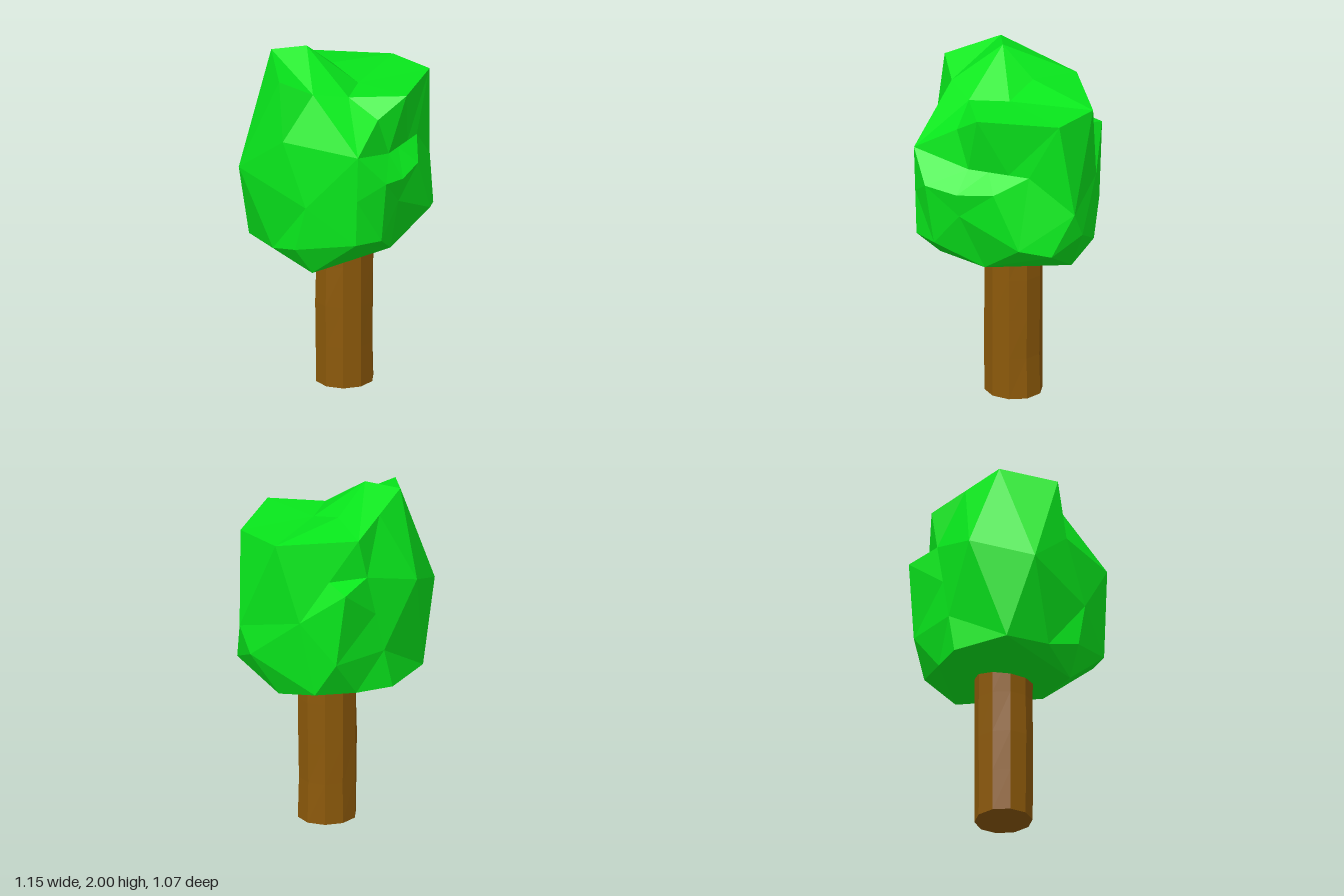
import * as THREE from 'three';
import { ConvexGeometry } from 'three/addons/geometries/ConvexGeometry.js';

const leafGreen = new THREE.MeshStandardMaterial({ color: 0x08e81c });
leafGreen.name = 'leafGreen';
const barkBrown = new THREE.MeshStandardMaterial({ color: 0x8c590a });
barkBrown.name = 'barkBrown';

// Corners of the crown, level by level
const peak = [
  [-0.16, 2.0, -0.14], [-0.31, 1.97, -0.27], [-0.46, 1.9, 0.02], [-0.3, 1.82, 0.12],
];
const shelf = [
  [0.04, 1.84, -0.18], [0.07, 1.78, 0.03], [-0.1, 1.78, 0.18], [0.16, 1.79, 0.37],
  [0.52, 1.78, 0.08], [0.48, 1.78, -0.22], [0.09, 1.81, -0.47], [-0.02, 1.68, 0.35],
];
const notch = [
  [0.06, 1.46, 0.34], [0.37, 1.45, 0.17], [0.08, 1.34, 0.45], [0.26, 1.36, 0.34],
];
const belt = [
  [-0.24, 1.54, 0.47], [-0.09, 1.37, 0.53], [-0.47, 1.56, 0.07], [-0.58, 1.35, -0.2],
  [-0.3, 1.49, -0.46], [0.22, 1.53, -0.54], [0.39, 1.33, -0.33], [0.57, 1.24, 0.01],
  [0.07, 1.2, 0.42], [-0.42, 1.2, 0.22],
];
const underside = [
  [0.55, 1.09, -0.07], [0.51, 1.0, 0.13], [0.39, 1.04, 0.27], [-0.08, 1.01, 0.47],
  [-0.24, 1.01, 0.45], [-0.45, 0.94, 0.16], [-0.46, 0.89, -0.04], [-0.44, 0.89, -0.3],
  [-0.14, 0.88, -0.46], [0.08, 0.88, -0.43], [0.32, 0.9, -0.38], [0.4, 0.84, -0.13],
  [0.12, 0.86, 0.27], [-0.34, 0.78, 0.17], [0.25, 1.1, -0.49],
];

// Straight creases that must stay whole: start corner, end corner, points between
const shelfBack = shelf[6];
const creases = [
  [notch[0], notch[1], 2],          // inner line of the notch
  [shelfBack, belt[6], 1],          // fold behind the shelf
  [shelfBack, underside[8], 3],     // long back crease
  [peak[0], shelfBack, 1],
  [peak[1], shelfBack, 1],
  [peak[1], peak[3], 1],
  [belt[0], underside[4], 1],       // front left panel
  [underside[4], underside[12], 1],
];

function pointsBetween([a, b, count]) {
  return Array.from({ length: count }, (_, i) => {
    const t = (i + 1) / (count + 1);
    return a.map((value, axis) => value + (b[axis] - value) * t);
  });
}

// Facets are found on a sphere around the centre, then pushed out to the real corners
function facetedBlob(corners, center) {
  const points = corners.map((c) => new THREE.Vector3(...c));
  const directions = points.map((p) => p.clone().sub(center).normalize());
  const geometry = new ConvexGeometry(directions);
  const position = geometry.attributes.position;
  const v = new THREE.Vector3();
  for (let i = 0; i < position.count; i++) {
    v.fromBufferAttribute(position, i);
    let best = 0;
    directions.forEach((d, k) => {
      if (d.distanceToSquared(v) < directions[best].distanceToSquared(v)) best = k;
    });
    position.setXYZ(i, ...points[best].toArray());
  }
  geometry.computeVertexNormals();
  return geometry;
}

// Ten-sided trunk with slightly wandering rings
function trunkGeometry() {
  const height = 0.96;
  const base = new THREE.CylinderGeometry(0.161, 0.161, height, 10, 4);
  base.translate(0, height / 2, 0);
  const position = base.attributes.position;
  for (let i = 0; i < position.count; i++) {
    const x = position.getX(i), y = position.getY(i), z = position.getZ(i);
    const swell = 1 + 0.025 * Math.sin(9 * y + 14 * x) * Math.cos(11 * z);
    position.setXYZ(i, x * 1.04 * swell + 0.026, y, z * swell - 0.042);
  }
  const geometry = base.toNonIndexed();
  geometry.computeVertexNormals();
  return geometry;
}

export function createModel() {
  const tree = new THREE.Group();
  tree.name = 'tree';

  const trunk = new THREE.Mesh(trunkGeometry(), barkBrown);
  trunk.name = 'trunk';

  const corners = [
    ...peak, ...shelf, ...notch, ...belt, ...underside, ...creases.flatMap(pointsBetween),
  ];
  const crown = new THREE.Mesh(facetedBlob(corners, new THREE.Vector3(0, 1.33, 0)), leafGreen);
  crown.name = 'crown';

  tree.add(trunk, crown);
  return tree;
}
